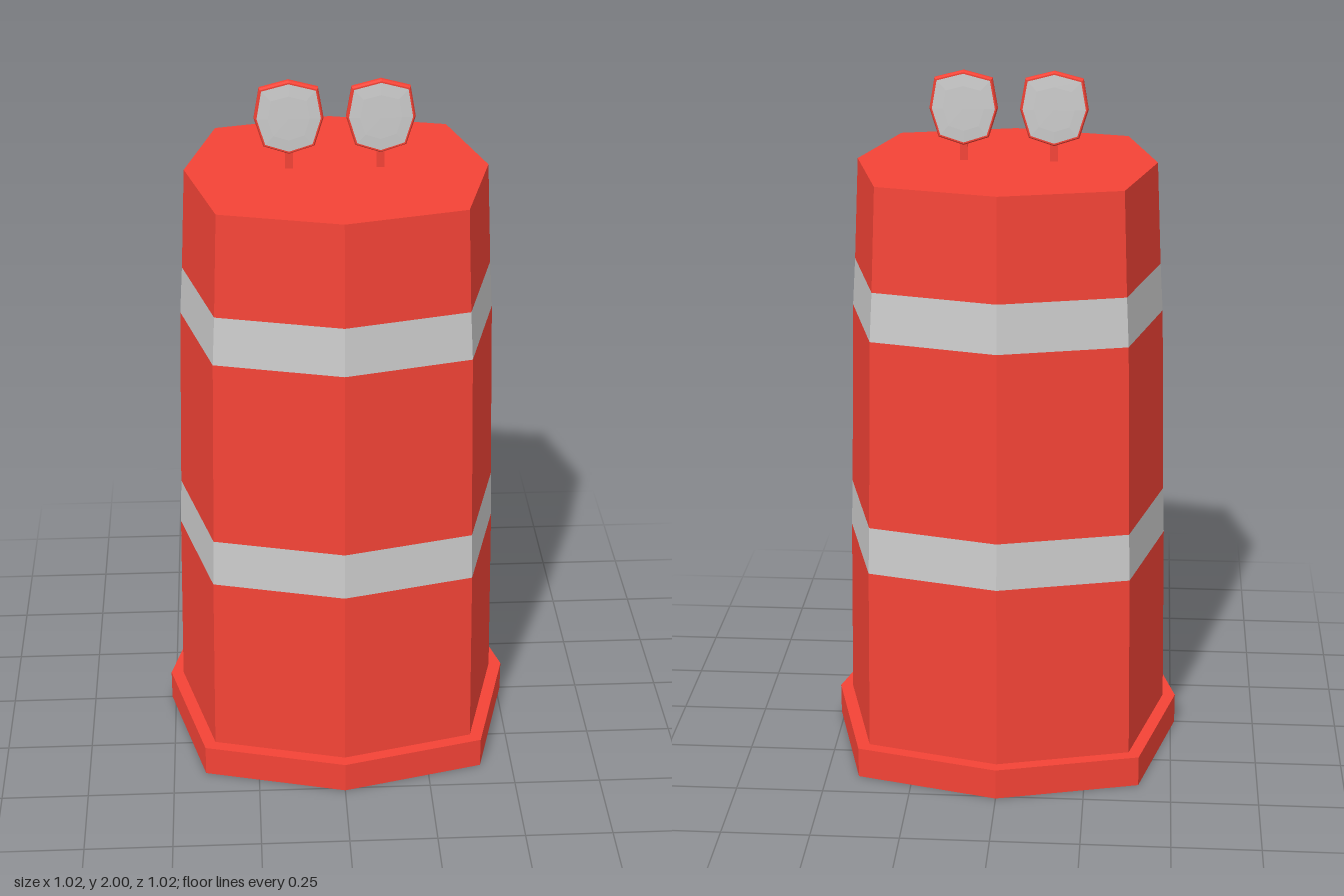
import * as THREE from 'three';

const red = new THREE.MeshStandardMaterial({ color: 0xf44336, flatShading: true });
const grey = new THREE.MeshStandardMaterial({ color: 0xcccccc, flatShading: true });

function add(parent, name, geometry, material) {
  const mesh = new THREE.Mesh(geometry, material);
  mesh.name = name;
  parent.add(mesh);
  return mesh;
}

// Eight-sided section whose diagonal corners stand out further than the axis corners
function octagonSection(y0, r0, y1, r1, open) {
  const g = new THREE.CylinderGeometry(r1, r0, y1 - y0, 8, 1, open);
  const p = g.attributes.position;
  for (let i = 0; i < p.count; i++) {
    const x = p.getX(i), z = p.getZ(i);
    const s = Math.abs(x * z) > 1e-4 ? 0.794 * Math.SQRT2 : 1;
    p.setXYZ(i, x * s, p.getY(i) + (y0 + y1) / 2, z * s);
  }
  g.computeVertexNormals();
  return g;
}

// Outline of a reflector, counter-clockwise from its right corner
const outline = [
  [0.096, 0], [0.081, 0.086], [0, 0.107], [-0.081, 0.086],
  [-0.096, 0], [-0.071, -0.081], [0, -0.104], [0.071, -0.081],
];

// Skin through scaled copies of the outline, each ring given as [scale, z]
function outlineLoft(rings) {
  const pos = [], index = [], n = outline.length;
  for (const [s, z] of rings) for (const [x, y] of outline) pos.push(x * s, y * s, z);
  for (let r = 0; r < rings.length - 1; r++) {
    for (let i = 0; i < n; i++) {
      const a = r * n + i, b = r * n + (i + 1) % n;
      index.push(a, b, b + n, a, b + n, a + n);
    }
  }
  const g = new THREE.BufferGeometry();
  g.setAttribute('position', new THREE.Float32BufferAttribute(pos, 3));
  g.setIndex(index);
  g.computeVertexNormals();
  return g;
}

export function createModel() {
  const model = new THREE.Group();
  model.name = 'trafficBarrel';

  // Foot
  add(model, 'base', octagonSection(0, 0.512, 0.09, 0.512, false), red);

  // Tapered body with two reflective bands: [y, radius]
  const profile = [
    [0.09, 0.475], [0.628, 0.466], [0.766, 0.461],
    [1.313, 0.447], [1.452, 0.438], [1.745, 0.424],
  ];
  for (let i = 0; i < profile.length - 1; i++) {
    const band = i % 2 === 1;
    const top = i === profile.length - 2;
    add(model, band ? 'reflectiveBand' : 'bodySection',
      octagonSection(...profile[i], ...profile[i + 1], !top), band ? grey : red);
  }

  // Pair of reflectors on short stems
  for (const [name, x] of [['rightReflector', -0.132], ['leftReflector', 0.122]]) {
    const reflector = new THREE.Group();
    reflector.name = name;
    reflector.position.set(x, 1.893, 0);
    model.add(reflector);

    add(reflector, 'stem', new THREE.BoxGeometry(0.022, 0.07, 0.009), red).position.y = -0.12;
    add(reflector, 'rim', outlineLoft([[0.9, -0.013], [0.96, -0.013], [1, -0.006],
      [1, 0.006], [0.96, 0.013], [0.9, 0.013]]), red);
    const lens = outlineLoft([[0.92, 0.013], [0.6, 0.015], [0, 0.0155]]);
    add(reflector, 'frontLens', lens, grey);
    add(reflector, 'backLens', lens, grey).rotation.y = Math.PI;
  }
  return model;
}
